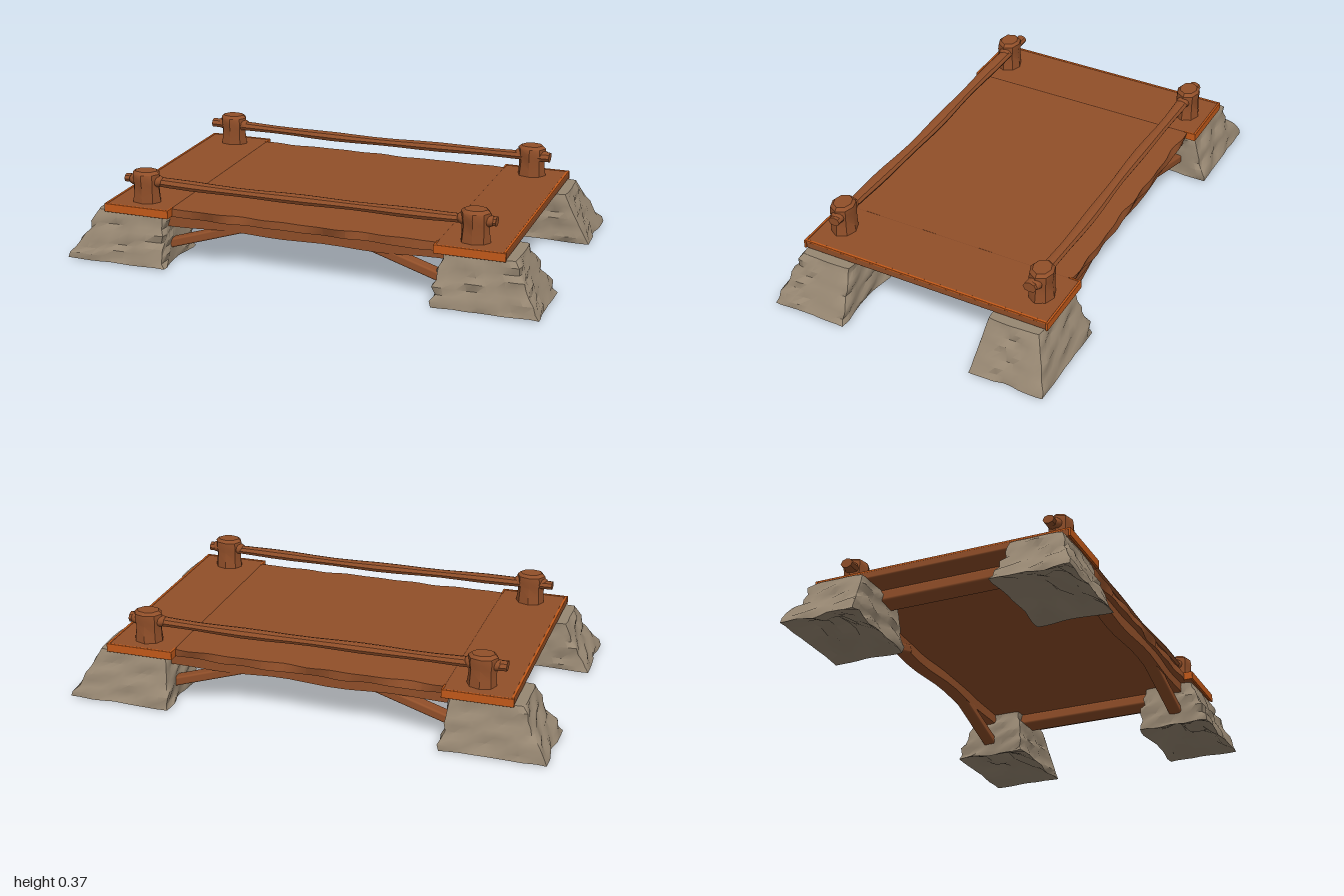
import * as THREE from 'three';
import { toCreasedNormals } from 'three/addons/utils/BufferGeometryUtils.js';
import { RoundedBoxGeometry } from 'three/addons/geometries/RoundedBoxGeometry.js';

const material = (name, color) => new THREE.MeshStandardMaterial({ name, color });

// Smooth repeatable wobble, about -1..1
const wobble = (x, y, z) =>
  (Math.sin(x * 23 + y * 9 + 1.3) + Math.sin(z * 27 - y * 31 + x * 7) + Math.sin(y * 41 + x * 15 - z * 11 + 2)) / 3;

// Moves every vertex by a rule and rebuilds the normals
function shape(geometry, rule, crease = 0.7) {
  const p = geometry.attributes.position, v = new THREE.Vector3();
  for (let i = 0; i < p.count; i++) {
    v.fromBufferAttribute(p, i);
    rule(v);
    p.setXYZ(i, v.x, v.y, v.z);
  }
  return toCreasedNormals(geometry, crease);
}

export function createModel() {
  const group = new THREE.Group();
  group.name = 'footbridge';
  const wood = material('brown wood', 0x914f29);
  const edge = material('orange cut wood', 0xc45a1a);
  const stone = material('grey brown stone', 0x978772);

  const add = (name, geometry, mat) => {
    const mesh = new THREE.Mesh(geometry, mat);
    mesh.name = name;
    group.add(mesh);
    return mesh;
  };
  const box = (name, w, h, d, x, y, z, mat = wood) => {
    const mesh = add(name, new RoundedBoxGeometry(w, h, d, 2, Math.min(w, h, d) * 0.22), mat);
    mesh.position.set(x, y, z);
    return mesh;
  };

  // Deck boards with uneven ends
  const boards = 12, bw = 1.14 / boards;
  for (let i = 0; i < boards; i++) {
    const cx = -0.57 + bw * (i + 0.5);
    add('deckBoard', shape(new THREE.BoxGeometry(bw, 0.034, 1, 3, 1, 1), v => {
      v.x += cx;
      const end = Math.sign(v.z);
      v.z = end * (0.505 + 0.009 * wobble(v.x * 1.6, v.y * 2, end));
      v.y += 0.219 + (v.y < 0 ? 0.004 * wobble(v.x, 0, end) : 0);
    }), wood);
  }

  for (const sx of [-1, 1]) {
    // End planks with exposed orange cuts
    box('endPlank', 0.284, 0.035, 1.076, sx * 0.707, 0.221, 0);
    box('outerEdgeTrim', 0.011, 0.008, 1.076, sx * 0.8435, 0.2365, 0, edge);
    for (const sz of [-1, 1]) {
      box('plankEnd', 0.288, 0.036, 0.0095, sx * 0.707, 0.2215, sz * 0.5405, edge);
      box('plankCornerTrim', 0.008, 0.036, 0.05, sx * 0.567, 0.2215, sz * 0.517, edge);
    }
    // Cross beam between the footings
    box('crossBeam', 0.1, 0.05, 0.9, sx * 0.69, 0.181, 0);
  }

  for (const sz of [-1, 1]) {
    // Side beam under the deck
    add('sideBeam', shape(new THREE.BoxGeometry(1.3, 0.046, 0.06, 16, 1, 1), v => {
      v.y += 0.181 + (v.y < 0 ? 0.004 * Math.sin(v.x * 14) : 0);
      v.z += sz * 0.455 + 0.005 * Math.sin(v.x * 9);
    }), wood);

    // Uneven, slightly sagging hand rail
    add('handRail', shape(new THREE.CylinderGeometry(0.02, 0.02, 1.585, 8, 16), v => {
      const along = v.y, t = along / 0.79;
      const k = 1 + 0.1 * Math.sin(along * 13 + sz * 2);
      v.set(along - 0.007, 0.325 - v.x * k - 0.008 * (1 - t * t),
        sz * 0.437 + v.z * k * 1.3 + 0.004 * Math.sin(t * 5 + sz * 4));
    }), wood);

    for (const sx of [-1, 1]) {
      // Squared diagonal brace
      const brace = box('brace', 0.4, 0.037, 0.055, sx * 0.445, 0.119, sz * 0.452);
      brace.rotation.z = -sx * 0.31;

      // Chunky post with a worn top
      const profile = [[0, 0.225], [0.061, 0.225], [0.058, 0.27], [0.056, 0.31], [0.06, 0.335], [0.058, 0.358], [0.045, 0.37], [0, 0.37]];
      add('railPost', shape(new THREE.LatheGeometry(profile.map(q => new THREE.Vector2(...q)), 8), v => {
        const k = 1 + 0.08 * wobble(v.x * 3, v.y, v.z * 3);
        v.x = v.x * k + sx * 0.703;
        v.z = v.z * k * 0.86 + sz * 0.446;
      }, 0.6), wood);
      for (const s of [-1, 1]) {
        // Knots where the rail enters the post
        const knot = add('railKnot', new THREE.SphereGeometry(0.03, 8, 6), wood);
        knot.position.set(sx * 0.703 + s * 0.052, 0.326, sz * 0.442);
        knot.scale.set(0.9, 0.8, 1);
      }

      // Rough stone footing, flared outward and hollowed below
      add('stoneFooting', shape(new THREE.BoxGeometry(2, 1, 2, 9, 8, 9), v => {
        const t = v.y + 0.5, u = v.x * sx, w = v.z * sz;
        const flare = Math.pow(1 - t, 1.15);
        const side = Math.max(Math.abs(u), Math.abs(w));
        // Round the upright corners and dent the middles of the faces
        const corner = 1 - 0.04 * Math.pow(Math.abs(u * w), 6);
        const dent = 1 - 0.1 * flare * (1 - Math.abs(u * w)) * side;
        const x = 0.742 + 0.041 * flare + u * corner * dent * (0.148 + 0.08 * flare);
        const z = 0.42 + 0.026 * flare + w * corner * dent * (0.11 + 0.057 * flare);
        const n = wobble(x * sx * 1.7, t * 0.5, z * sz * 1.7);
        // Ragged hollow underneath, thin uneven rim
        let y = t * 0.206 + (t > 0.01 && t < 0.99 ? 0.005 * n : 0);
        if (t < 0.01) y = Math.max(0, 0.004 + 0.005 * n + (1 - side) * (0.07 + 0.045 * wobble(z * 2.5, x, x * 2.5)));
        const rough = t > 0.99 ? 0.003 : 0.013;
        v.set(sx * Math.min(1, x + u * n * rough), y, sz * Math.min(0.6, z + w * n * rough));
      }, 0.75), stone);
    }
  }
  return group;
}
